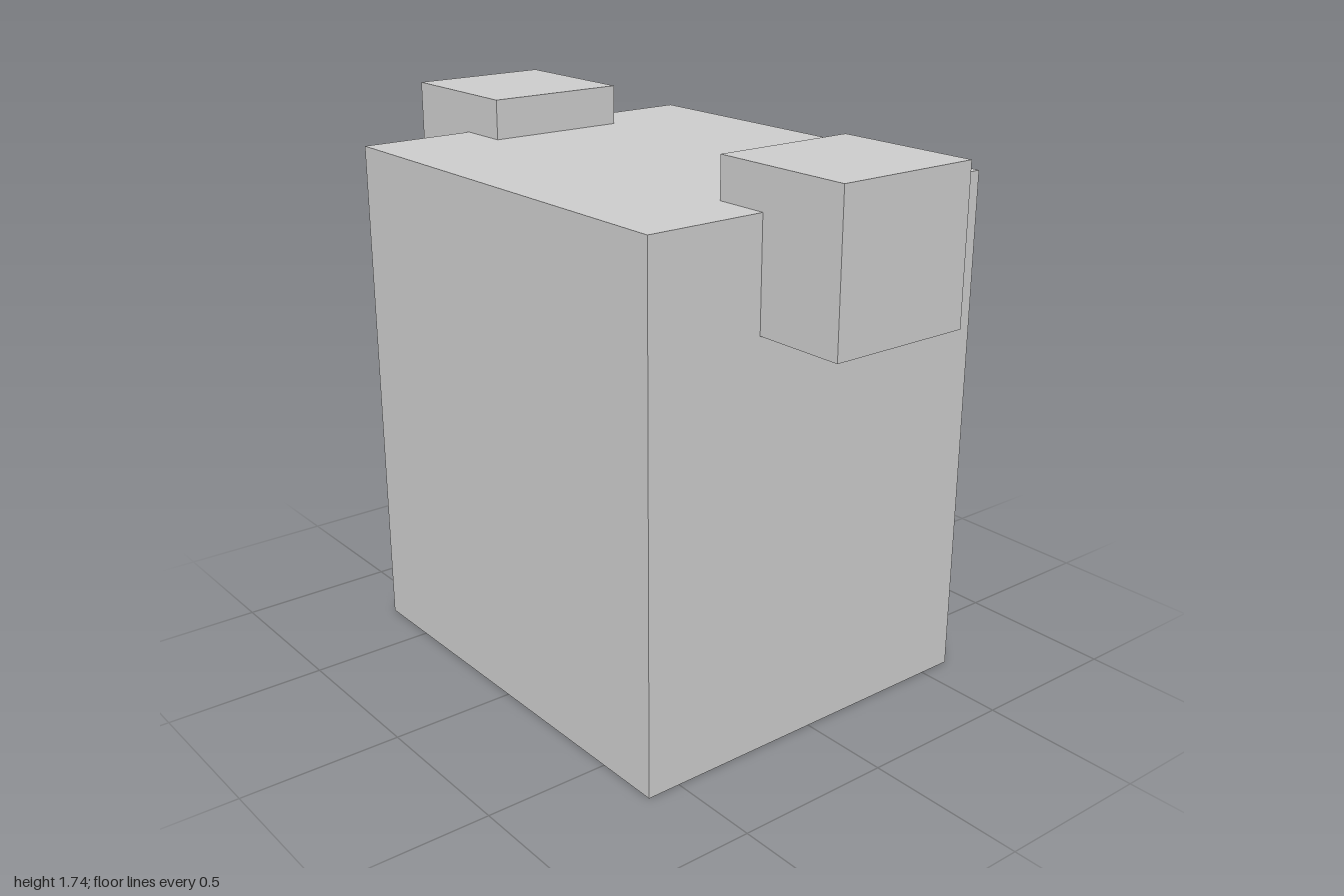
import * as THREE from 'three';

export function createModel() {
  const model = new THREE.Group();
  const material = new THREE.MeshStandardMaterial({ color: 0xcccccc, flatShading: true });

  const addBox = (name, [w, h, d], [x, y, z]) => {
    const mesh = new THREE.Mesh(new THREE.BoxGeometry(w, h, d), material);
    mesh.name = name;
    mesh.position.set(x, y, z);
    model.add(mesh);
  };

  // Main block, standing on the ground
  addBox('body', [1.42, 1.61, 1.215], [0, 0.805, 0]);

  // Cubes set into the upper side edges
  const size = 0.46;
  for (const [name, side] of [['leftCube', 1], ['rightCube', -1]]) {
    addBox(name, [size, size, size], [side * (1 - size / 2), 1.505, 0]);
  }

  return model;
}
